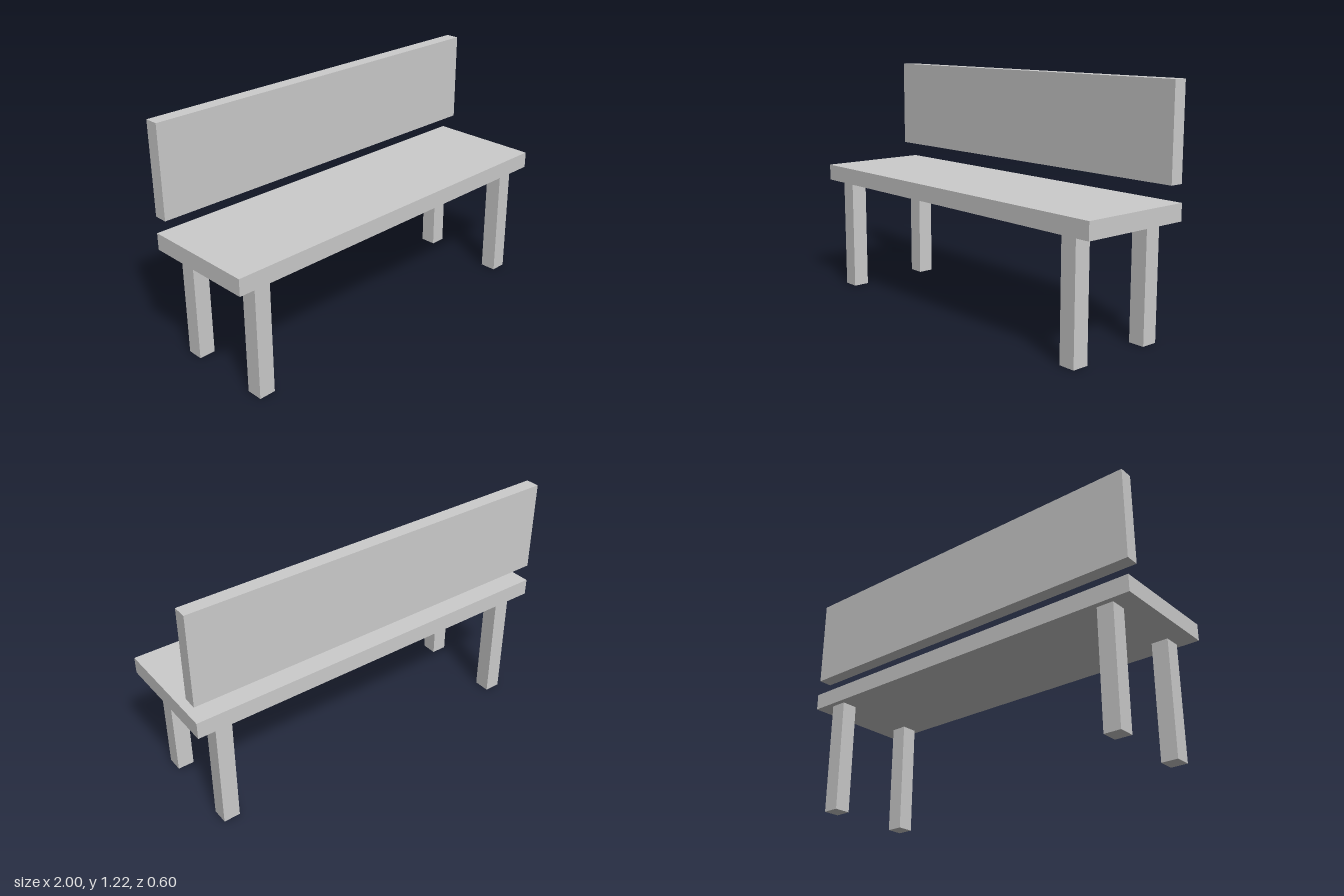
import * as THREE from 'three';

export function createModel() {
  const bench = new THREE.Group();
  bench.name = 'bench';
  const material = new THREE.MeshStandardMaterial({ color: 0xcccccc, flatShading: true });

  // Adds a box given its size and centre
  function addBox(name, [w, h, d], [x, y, z]) {
    const mesh = new THREE.Mesh(new THREE.BoxGeometry(w, h, d), material);
    mesh.name = name;
    mesh.position.set(x, y, z);
    bench.add(mesh);
  }

  // Seat slab
  addBox('seat', [2, 0.085, 0.598], [0, 0.631, 0]);

  // Backrest board, floating above the rear edge of the seat
  addBox('backrest', [2, 0.465, 0.071], [0, 0.992, -0.257]);

  // Four square legs
  const legHeight = 0.5885;
  for (const [side, x] of [['Left', 0.857], ['Right', -0.857]]) {
    for (const [end, z] of [['front', 0.228], ['back', -0.228]]) {
      addBox(`${end}${side}Leg`, [0.085, legHeight, 0.085], [x, legHeight / 2, z]);
    }
  }

  return bench;
}
